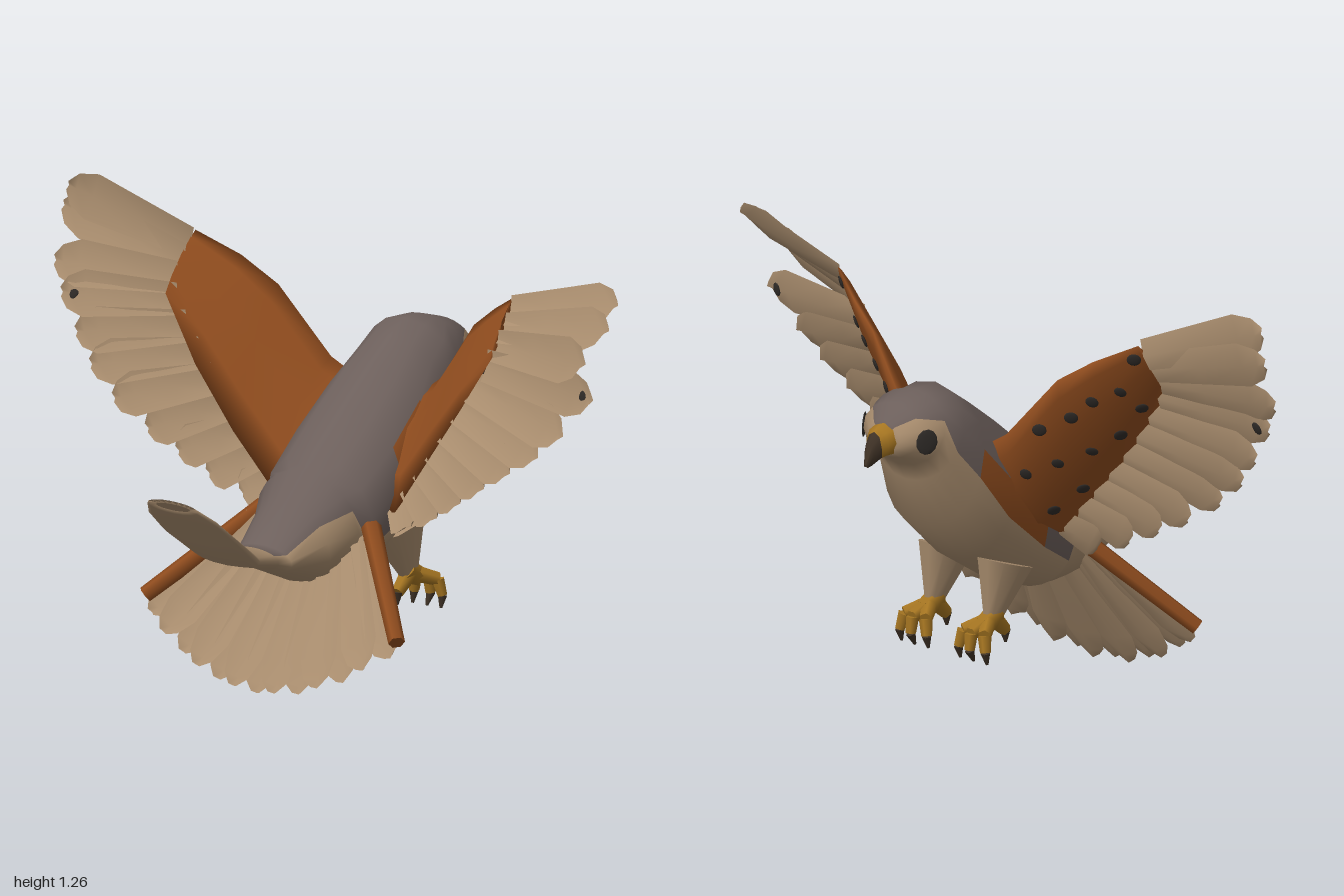
import * as THREE from 'three';

const V = (x, y, z) => new THREE.Vector3(x, y, z);
const material = (name, color) => new THREE.MeshStandardMaterial({ name, color, side: THREE.DoubleSide });

export function createModel() {
  const model = new THREE.Group();
  const tan = material('tan plumage', 0xa98d6e);
  const grey = material('slate plumage', 0x6c5f5b);
  const rust = material('rust plumage', 0x8f4c1e);
  const dark = material('dark markings', 0x2e2a27);
  const yellow = material('yellow skin', 0xa87722);
  const horn = material('horn', 0x3f3226);

  const add = (name, geometry, mat, parent = model) => {
    const mesh = new THREE.Mesh(geometry, mat);
    mesh.name = name;
    parent.add(mesh);
    return mesh;
  };

  // Closed skin through rings of points; matOf picks the material of each quad
  const loft = (rings, mats = 1, matOf = () => 0) => {
    const n = rings[0].length;
    const lists = Array.from({ length: mats }, () => []);
    for (let i = 0; i < rings.length - 1; i++) {
      for (let j = 0; j < n; j++) {
        const k = (j + 1) % n;
        const a = i * n + j, b = i * n + k, c = a + n, d = b + n;
        lists[matOf(i, j)].push(a, b, c, b, d, c);
      }
    }
    const g = new THREE.BufferGeometry().setFromPoints(rings.flat());
    g.setIndex(lists.flat());
    let start = 0;
    lists.forEach((list, m) => { g.addGroup(start, list.length, m); start += list.length; });
    g.computeVertexNormals();
    return g;
  };

  // Tapered round bar between two points
  const bar = (name, a, b, r1, r2, mat, parent, sides = 6) => {
    const dir = b.clone().sub(a);
    const mesh = add(name, new THREE.CylinderGeometry(r2, r1, dir.length(), sides), mat, parent);
    mesh.position.copy(a).add(b).multiplyScalar(0.5);
    mesh.quaternion.setFromUnitVectors(V(0, 1, 0), dir.normalize());
    return mesh;
  };

  // Thin oval plate facing along a normal
  const plate = (name, p, normal, rx, ry, parent) => {
    const mesh = add(name, new THREE.SphereGeometry(1, 10, 6), dark, parent);
    mesh.scale.set(rx, ry, 0.0045);
    mesh.position.copy(p);
    mesh.quaternion.setFromUnitVectors(V(0, 0, 1), normal.clone().normalize());
  };

  // Creased blade from base to tip, with a raised shaft and a pointed end
  const feather = (name, base, tip, w0, w1, normal, parent) => {
    const dir = tip.clone().sub(base);
    const side = dir.clone().cross(normal).normalize();
    const up = side.clone().cross(dir).normalize();
    const at = (t, s, h) => base.clone().addScaledVector(dir, t).addScaledVector(side, s).addScaledVector(up, h);
    const rows = [[0, w0], [0.4, (w0 + w1) / 2], [0.8, w1], [0.94, w1 * 0.68], [1, w1 * 0.2]];
    const pts = rows.flatMap(([t, w]) => [at(t, -w / 2, -0.008), at(t, 0, 0.008), at(t, w / 2, 0)]);
    const index = [];
    for (let i = 0; i < rows.length - 1; i++) {
      for (let j = 0; j < 2; j++) {
        const a = i * 3 + j;
        index.push(a, a + 1, a + 3, a + 1, a + 4, a + 3);
      }
    }
    const g = new THREE.BufferGeometry().setFromPoints(pts);
    g.setIndex(index);
    g.computeVertexNormals();
    add(name, g, tan, parent);
  };

  // Body, head and upper tail: [topX, topY, bottomX, bottomY, halfWidth, angle where slate ends]
  const sections = [
    [-0.635, 0.60, -0.625, 0.58, 0.06, 1.2],
    [-0.64, 0.61, -0.622, 0.57, 0.09, 1.2],
    [-0.59, 0.57, -0.575, 0.53, 0.125, 1.2],
    [-0.52, 0.515, -0.50, 0.465, 0.135, 1.2],
    [-0.40, 0.44, -0.40, 0.385, 0.12, 1.2],
    [-0.29, 0.415, -0.28, 0.355, 0.09, 1.0],
    [-0.25, 0.415, -0.23, 0.335, 0.10, 1.0],
    [-0.15, 0.51, -0.10, 0.28, 0.14, 0.95],
    [-0.07, 0.59, -0.03, 0.28, 0.18, 1.15],
    [-0.03, 0.63, 0.03, 0.28, 0.19, 2.0],
    [0.10, 0.74, 0.14, 0.32, 0.205, 1.95],
    [0.22, 0.84, 0.30, 0.42, 0.20, 1.85],
    [0.30, 0.90, 0.43, 0.54, 0.178, 1.65],
    [0.36, 0.94, 0.48, 0.69, 0.157, 1.8],
    [0.44, 0.938, 0.51, 0.74, 0.14, 1.15],
    [0.52, 0.915, 0.55, 0.77, 0.106, 0.85],
    [0.565, 0.875, 0.57, 0.79, 0.06, 0.7],
    [0.57, 0.835, 0.57, 0.825, 0.01, 0.7],
  ];
  const S = 4, T = 5, N = 2 * (S + T);
  const bodyRings = sections.map(([tx, ty, bx, by, w, a]) => Array.from({ length: N }, (_, j) => {
    const k = j <= N / 2 ? j : N - j;
    const angle = k <= S ? a * k / S : a + (Math.PI - a) * (k - S) / T;
    const f = (1 - Math.cos(angle)) / 2;
    return V(tx + (bx - tx) * f, ty + (by - ty) * f, Math.sin(angle) * w * (j <= N / 2 ? 1 : -1));
  }));
  // Slate back, tan belly, and a rust shoulder patch where each wing joins
  const plumage = (i, j) => {
    const band = j < N / 2 ? j : N - 1 - j;
    if (i < 5 || band >= S) return 1;
    return (i === 10 && band >= S - 2) || (i === 11 && band === S - 1) ? 2 : 0;
  };
  add('body', loft(bodyRings, 3, plumage), [grey, tan, rust]);

  // Hooked beak with a yellow base: [x, y, half height, half width]
  const beak = [[0.545, 0.825, 0.05, 0.056], [0.592, 0.82, 0.045, 0.042], [0.605, 0.812, 0.042, 0.028],
    [0.625, 0.795, 0.036, 0.018], [0.642, 0.762, 0.006, 0.004]];
  const beakRings = beak.map(([x, y, h, w]) => Array.from({ length: 8 }, (_, j) => {
    const a = j * Math.PI / 4;
    return V(x + (Math.cos(a) < -0.1 ? -0.01 : 0), y + h * Math.cos(a), w * Math.sin(a));
  }));
  add('beak', loft(beakRings, 2, (i) => (i > 1 ? 1 : 0)), [yellow, horn]);

  // Wings: [leading edge, trailing edge, thickness] from shoulder to wrist
  const wing = (name, s, stretch, lift, tips) => {
    const group = new THREE.Group();
    group.name = name;
    model.add(group);
    const p = (x, y, z) => V(x, y + lift * Math.max(0, z - 0.2), s * (z > 0.2 ? 0.2 + (z - 0.2) * stretch : z));
    const stations = [
      [p(0.31, 0.76, 0.11), p(0.08, 0.47, 0.12), 0.08],
      [p(0.285, 0.815, 0.195), p(0.06, 0.48, 0.215), 0.065],
      [p(0.255, 0.99, 0.335), p(0.045, 0.62, 0.325), 0.045],
      [p(0.23, 1.055, 0.43), p(0.045, 0.78, 0.44), 0.035],
      [p(0.18, 1.11, 0.535), p(0.065, 0.95, 0.545), 0.018],
    ];
    const surface = (u, v, face) => {
      const i = Math.min(Math.floor(u), 3), f = u - i;
      const [L, M] = [0, 1].map((k) => stations[i][k].clone().lerp(stations[i + 1][k], f));
      const t = stations[i][2] + (stations[i + 1][2] - stations[i][2]) * f;
      const n = V(L.y - M.y, M.x - L.x, 0).normalize();
      return L.lerp(M, v).addScaledVector(n, face * t * Math.sin(Math.PI * v) ** 0.7);
    };
    const vs = [0, 0.12, 0.4, 0.75, 1];
    const rings = stations.map((_, i) => [...vs.map((v) => surface(i, v, 1)),
      ...vs.slice(1, -1).reverse().map((v) => surface(i, v, -0.6))]);
    rings.push(rings[4].map((q) => q.clone().lerp(surface(4, 0.5, 0), 0.95)));
    add('wingCovert', loft(rings), rust, group);

    // Dark spots on the underside
    const spots = [[1.2, 0.35], [1.25, 0.75], [1.6, 0.18], [1.7, 0.5], [1.8, 0.82], [2.2, 0.3],
      [2.3, 0.65], [2.75, 0.3], [2.9, 0.75], [3.35, 0.4], [3.5, 0.75], [3.85, 0.15]];
    spots.forEach(([u, v], i) => {
      const q = surface(u, v, 1);
      const n = surface(u + 0.05, v, 1).sub(q).cross(surface(u, v + 0.05, 1).sub(q)).normalize();
      if (n.x < 0) n.negate();
      plate('wingSpot', q.addScaledVector(n, 0.003), n, 0.015 + 0.003 * (i % 3), 0.019, group);
    });

    // Flight feathers fan out from the rear edge of the covert, each leaning towards its neighbours
    const roots = new THREE.CatmullRomCurve3([surface(4, 0.2, 0), surface(3.9, 0.8, 0), surface(3, 0.9, 0),
      surface(2, 0.9, 0), surface(1, 0.9, 0)]);
    const ends = tips.map(([x, y, z]) => V(x, y, s * z));
    const last = ends.length - 1;
    ends.forEach((tip, i) => {
      const root = roots.getPoint(i / last);
      const along = ends[Math.min(i + 1, last)].clone().sub(ends[Math.max(i - 1, 0)]);
      const normal = along.cross(tip.clone().sub(root)).normalize();
      if (normal.x < 0) normal.negate();
      normal.multiplyScalar(i < 3 ? 0.25 : 0.8).add(V(0.92, -0.35, 0.1 * s)).normalize();
      feather('flightFeather', root, tip, 0.09, 0.135 - 0.015 * i / last, normal, group);
      if (i === 3) plate('featherMark', tip.clone().lerp(root, 0.1).addScaledVector(normal, 0.008), normal, 0.014, 0.02, group);
    });
  };
  wing('leftWing', 1, 1, 0, [[0.12, 1.165, 0.95], [0.02, 1.12, 1.0], [-0.07, 1.04, 0.99], [0, 0.92, 0.96],
    [-0.02, 0.81, 0.87], [-0.03, 0.74, 0.79], [-0.03, 0.68, 0.69], [-0.02, 0.62, 0.59], [0, 0.56, 0.49],
    [0.02, 0.50, 0.39], [0.03, 0.46, 0.29]]);
  wing('rightWing', -1, 1.16, 0.06, [[0.07, 1.22, 0.95], [0.11, 1.15, 1.0], [0.05, 1.01, 0.98], [0.03, 0.93, 0.94],
    [0.02, 0.83, 0.88], [0.01, 0.75, 0.82], [0, 0.67, 0.73], [0.01, 0.60, 0.62], [0.02, 0.55, 0.52],
    [0.03, 0.50, 0.42], [0.04, 0.46, 0.31]]);

  // Lower tail fan
  const fan = new THREE.Group();
  fan.name = 'tailFan';
  model.add(fan);
  for (let i = -6; i <= 6; i++) {
    const s = i / 6;
    feather('tailFeather', V(-0.05, 0.40 + 0.02 * Math.abs(s), 0.19 * s),
      V(-0.275 - 0.015 * (i & 1) + 0.06 * s * s, 0.005 + 0.15 * s * s + 0.008 * (i & 1), 0.42 * s),
      0.07, 0.115, V(0.85, -0.52, 0.12 * s), fan);
  }

  for (const s of [1, -1]) {
    const side = s > 0 ? 'left' : 'right';
    bar('tailEdge', V(-0.01, 0.45, 0.19 * s), V(-0.21, 0.2, 0.445 * s), 0.028, 0.023, rust, fan);

    // Eye
    plate(side + 'Eye', V(0.52, 0.83, 0.117 * s), V(0.55, 0.05, 0.83 * s), 0.03, 0.036);

    // Leg and foot
    const leg = new THREE.Group();
    leg.name = side + 'Leg';
    model.add(leg);
    const z = 0.11 * s;
    bar('thigh', V(0.20, 0.41, z), V(0.25, 0.262, z), 0.1, 0.033, tan, leg, 10).scale.z = 0.62;
    bar('ankle', V(0.235, 0.275, z), V(0.285, 0.245, z), 0.03, 0.03, yellow, leg);
    for (const k of [-1, 0, 1]) {
      const knuckle = V(0.335 - 0.01 * Math.abs(k), 0.235, z + 0.04 * k);
      const end = V(0.342 - 0.01 * Math.abs(k), 0.19, z + 0.05 * k);
      bar('toe', V(0.265, 0.258, z), knuckle, 0.024, 0.019, yellow, leg);
      bar('toeEnd', knuckle, end, 0.019, 0.015, yellow, leg);
      bar('claw', end, V(0.325, 0.155, z + 0.05 * k), 0.014, 0.004, horn, leg);
    }
    bar('backToe', V(0.25, 0.262, z), V(0.20, 0.215, z), 0.026, 0.018, yellow, leg);
    bar('claw', V(0.20, 0.215, z), V(0.198, 0.18, z), 0.016, 0.004, horn, leg);
  }
  return model;
}
